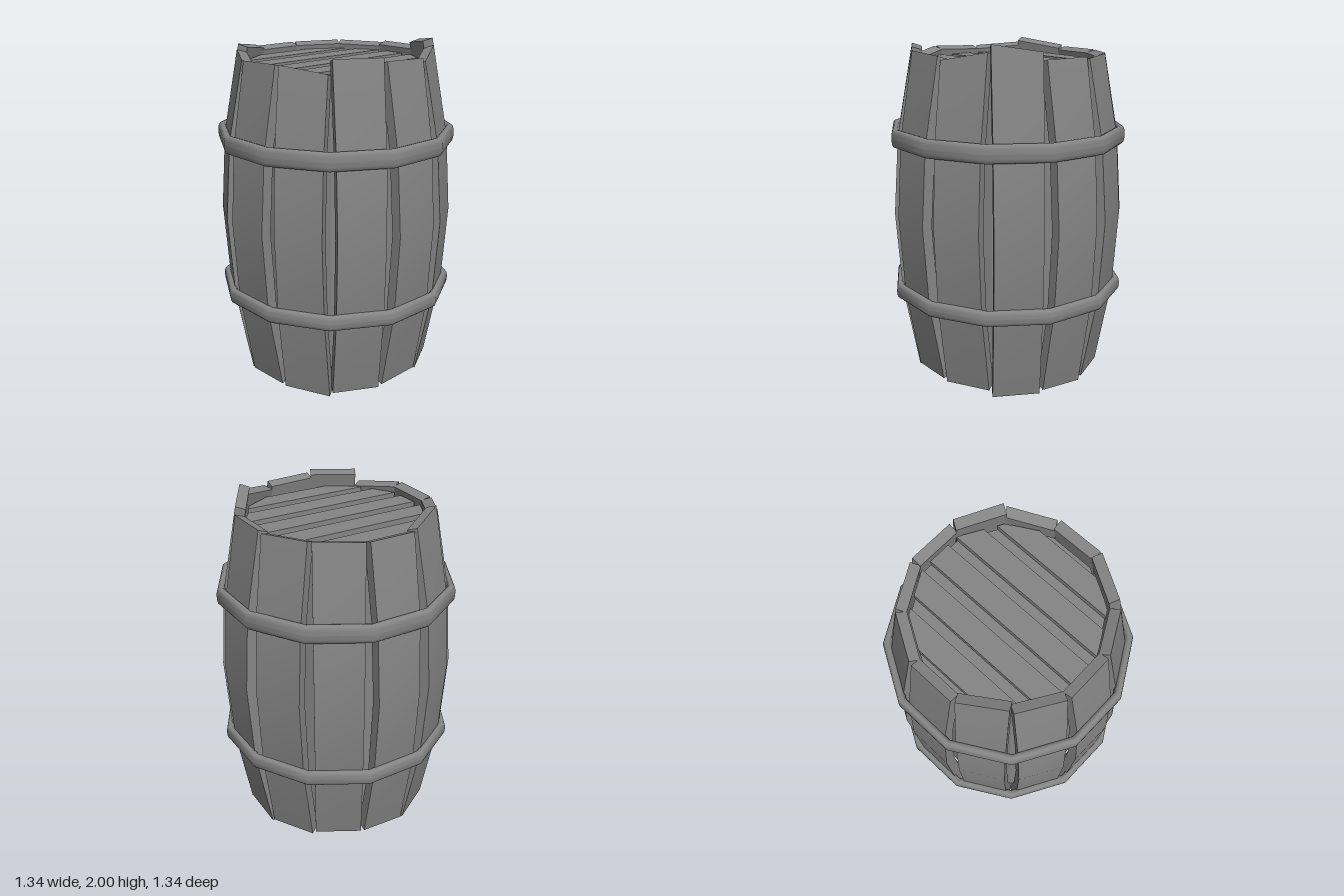
import * as THREE from 'three';
import { toCreasedNormals } from 'three/addons/utils/BufferGeometryUtils.js';

const SIDES = 12;
const STEP = (Math.PI * 2) / SIDES;
const material = new THREE.MeshStandardMaterial({ color: 0x858585 });

// Uneven stave ends: [top start, top end, bottom start, bottom end]
const ENDS = [
  [1.94, 1.93, 0.05, 0.06], [1.91, 1.96, 0.045, 0.045], [2.0, 1.96, 0.0, 0.01],
  [1.92, 1.92, 0.03, 0.01], [1.91, 1.915, 0.03, 0.03], [1.915, 1.91, 0.05, 0.05],
  [1.91, 1.91, 0.05, 0.03], [1.92, 1.96, 0.02, 0.04], [1.93, 1.91, 0.04, 0.03],
  [1.91, 1.92, 0.03, 0.04], [1.92, 1.885, 0.03, 0.005], [1.96, 1.96, 0.03, 0.035],
];

// Outer radius of the barrel at height y
const PROFILE = [[0, 0.54], [0.53, 0.637], [1, 0.668], [1.45, 0.637], [2, 0.535]];
function radiusAt(y) {
  for (let i = 1; i < PROFILE.length; i++) {
    const [y0, r0] = PROFILE[i - 1], [y1, r1] = PROFILE[i];
    if (y <= y1) return THREE.MathUtils.mapLinear(y, y0, y1, r0, r1);
  }
  return PROFILE[PROFILE.length - 1][1];
}

// A straight-sided board bent along the barrel profile, its ends cut square to the bend
function makeStave(index) {
  const thick = 0.06, cut = 0.018;
  const [topA, topB, botA, botB] = ENDS[index];
  const geo = new THREE.BoxGeometry(0.272, 4, thick, 1, 4, 1);
  const p = geo.attributes.position;
  for (let i = 0; i < p.count; i++) {
    const right = p.getX(i) > 0;
    const inset = p.getZ(i) < 0 ? cut : 0;
    const rows = [(right ? botB : botA) + inset, 0.53, 1, 1.45, (right ? topB : topA) - inset];
    const y = rows[Math.round(p.getY(i) + 2)];
    p.setXYZ(i, p.getX(i), y, radiusAt(y) - thick / 2 + p.getZ(i));
  }
  const stave = new THREE.Mesh(toCreasedNormals(geo, 0.6), material);
  stave.name = 'stave';
  stave.rotation.y = index * STEP;
  return stave;
}

// Twelve-sided band with a rounded, slightly boxy section
function makeHoop(y, height) {
  const pts = [];
  const n = 16, corner = 1 / Math.cos(STEP / 2);
  const boxy = (v) => Math.sign(v) * Math.abs(v) ** 0.75;
  for (let i = 0; i <= n; i++) {
    const a = (i / n) * Math.PI * 2;
    pts.push(new THREE.Vector2(
      (0.647 + 0.024 * boxy(Math.cos(a))) * corner,
      (height / 2) * boxy(Math.sin(a))
    ));
  }
  const hoop = new THREE.Mesh(new THREE.LatheGeometry(pts, SIDES), material);
  hoop.name = 'hoop';
  hoop.position.y = y;
  hoop.rotation.y = STEP / 2;
  return hoop;
}

// Half width of the twelve-sided head at depth z
function headHalfWidth(z, apothem) {
  let w = apothem;
  for (const a of [STEP, 2 * STEP]) {
    w = Math.min(w, (apothem - Math.abs(z) * Math.sin(a)) / Math.cos(a));
  }
  return w;
}

// Row of planks trimmed to the head outline, with grooves between
function makeHead(y, height) {
  const head = new THREE.Group();
  head.name = 'head';
  for (let i = -2; i <= 2; i++) {
    const c = -0.005 + i * 0.195, rim = 0.49;
    const z0 = Math.max(c - 0.066, -rim), z1 = Math.min(c + 0.066, rim);
    const front = [], back = [];
    for (let j = 0; j <= 4; j++) {
      const z = z0 + ((z1 - z0) * j) / 4;
      const w = headHalfWidth(z, rim);
      front.push(new THREE.Vector2(w, -z));
      back.unshift(new THREE.Vector2(-w, -z));
    }
    const geo = new THREE.ExtrudeGeometry(new THREE.Shape([...front, ...back]), { depth: height, bevelEnabled: false });
    geo.rotateX(-Math.PI / 2);
    const plank = new THREE.Mesh(geo, material);
    plank.name = 'headPlank';
    head.add(plank);
  }
  head.position.y = y;
  return head;
}

export function createModel() {
  const barrel = new THREE.Group();
  barrel.name = 'barrel';

  for (let i = 0; i < SIDES; i++) barrel.add(makeStave(i));
  barrel.add(makeHoop(1.45, 0.106), makeHoop(0.533, 0.09));

  // Inner core behind the stave gaps and head grooves
  const r = 0.487 / Math.cos(STEP / 2);
  const core = new THREE.Mesh(toCreasedNormals(new THREE.CylinderGeometry(r, r, 1.73, SIDES), 0.4), material);
  core.name = 'core';
  core.position.y = 0.97;
  core.rotation.y = STEP / 2;
  barrel.add(core);

  barrel.add(makeHead(1.835, 0.035), makeHead(0.07, 0.035));
  return barrel;
}
